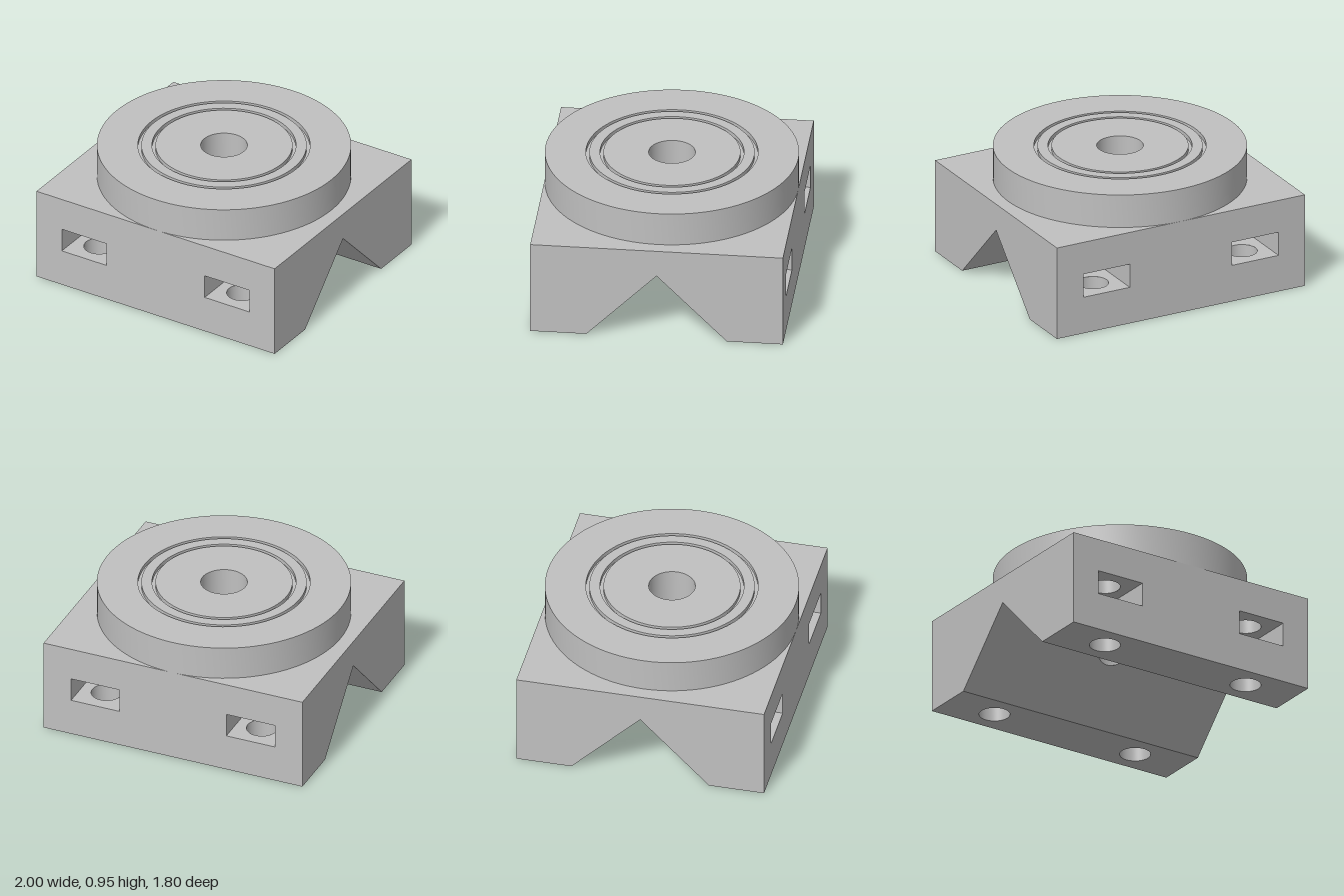
import * as THREE from 'three';
import { toCreasedNormals } from 'three/addons/utils/BufferGeometryUtils.js';

const steel = new THREE.MeshStandardMaterial({ color: 0xc0c0c0, side: THREE.DoubleSide });
steel.name = 'plain grey';

const W = 1, D = 0.9, H = 0.7;            // block half width, half depth, height
const V = 0.5;                            // notch half width and height
const TOP = 0.95, BORE = 0.165;           // turntable top, centre bore radius
const SLOT = { x: 0.6, z: 0.7, w: 0.375, d: 0.4, y0: 0.277, y1: 0.455 };
const DRILL = 0.11, DRILL_TOP = 0.6;

function mesh(name, geometry, parent, x = 0, y = 0, z = 0) {
  const m = new THREE.Mesh(geometry, steel);
  m.name = name;
  m.position.set(x, y, z);
  parent.add(m);
  return m;
}

function rect(w, h, cx = 0, cy = 0, Type = THREE.Shape) {
  const a = w / 2, b = h / 2;
  return new Type([[-a, -b], [a, -b], [a, b], [-a, b]].map(([x, y]) => new THREE.Vector2(cx + x, cy + y)));
}

// Rectangular sheet with round holes at the given x positions
function drilledSheet(w, h, r, xs) {
  const s = rect(w, h);
  for (const x of xs) s.holes.push(new THREE.Path().absarc(x, 0, r, 0, Math.PI * 2, true));
  return new THREE.ShapeGeometry(s, 48);
}
const up = (g) => g.rotateX(-Math.PI / 2);
const down = (g) => g.rotateX(Math.PI / 2);

// Turned surface: a profile running upward faces outward, downward faces inward
function turned(profile, segments = 96) {
  return new THREE.LatheGeometry(profile.map(([r, y]) => new THREE.Vector2(r, y)), segments);
}
const crease = (g) => toCreasedNormals(g, 0.6);

// Front half: face, foot, notch slope and two slotted screw pockets
function blockHalf() {
  const half = new THREE.Group();
  half.name = 'blockHalf';

  const face = rect(2 * W, H, 0, H / 2);
  for (const s of [-1, 1]) {
    face.holes.push(rect(SLOT.w, SLOT.y1 - SLOT.y0, s * SLOT.x, (SLOT.y0 + SLOT.y1) / 2, THREE.Path));
  }
  mesh('face', new THREE.ShapeGeometry(face), half, 0, 0, D);
  mesh('foot', down(drilledSheet(2 * W, D - V, DRILL, [-SLOT.x, SLOT.x])), half, 0, 0, (D + V) / 2);

  // Notch slope drawn in plan, then lifted toward the apex
  const plan = new THREE.Shape();
  plan.moveTo(-W, 0).lineTo(-BORE, 0);
  plan.absarc(0, 0, BORE, Math.PI, 0, true);
  plan.lineTo(W, 0).lineTo(W, V).lineTo(-W, V);
  const slope = down(new THREE.ShapeGeometry(plan, 48));
  const p = slope.attributes.position;
  for (let i = 0; i < p.count; i++) p.setY(i, V - p.getZ(i));
  slope.computeVertexNormals();
  mesh('notchSlope', slope, half);

  for (const s of [-1, 1]) {
    const pocket = new THREE.Group();
    pocket.name = 'screwPocket';
    pocket.position.set(s * SLOT.x, 0, SLOT.z);
    half.add(pocket);
    const h = SLOT.y1 - SLOT.y0, mid = (SLOT.y0 + SLOT.y1) / 2;
    mesh('slotFloor', up(drilledSheet(SLOT.w, SLOT.d, DRILL, [0])), pocket, 0, SLOT.y0, 0);
    mesh('slotCeiling', down(drilledSheet(SLOT.w, SLOT.d, DRILL, [0])), pocket, 0, SLOT.y1, 0);
    mesh('slotBack', new THREE.PlaneGeometry(SLOT.w, h), pocket, 0, mid, -SLOT.d / 2);
    for (const t of [-1, 1]) {
      mesh('slotSide', new THREE.PlaneGeometry(SLOT.d, h).rotateY(-t * Math.PI / 2), pocket, t * SLOT.w / 2, mid, 0);
    }
    mesh('lowerDrill', crease(turned([[DRILL, SLOT.y0], [DRILL, 0]], 48)), pocket);
    mesh('upperDrill', crease(turned([[0, DRILL_TOP], [DRILL, DRILL_TOP], [DRILL, SLOT.y1]], 48)), pocket);
  }
  return half;
}

export function createModel() {
  const model = new THREE.Group();
  model.name = 'notchedBlock';

  const front = blockHalf();
  const back = blockHalf();
  back.rotation.y = Math.PI;
  model.add(front, back);

  // Block ends with the triangular notch
  const end = new THREE.Shape([[-D, 0], [-V, 0], [0, V], [V, 0], [D, 0], [D, H], [-D, H]]
    .map(([x, y]) => new THREE.Vector2(x, y)));
  for (const s of [-1, 1]) {
    mesh('blockEnd', new THREE.ShapeGeometry(end).rotateY(s * Math.PI / 2), model, s * W, 0, 0);
  }
  mesh('blockTop', up(drilledSheet(2 * W, 2 * D, BORE, [0])), model, 0, H, 0);

  // Round table with two narrow grooves
  const g = TOP - 0.03;
  mesh('roundTable', crease(turned([
    [D, H], [D, TOP],
    [0.61, TOP], [0.61, g], [0.585, g], [0.585, TOP],
    [0.51, TOP], [0.51, g], [0.485, g], [0.485, TOP],
    [BORE, TOP],
  ])), model);

  // Centre bore, its lower rim following the notch
  const bore = turned([[BORE, TOP], [BORE, 0]]);
  const p = bore.attributes.position;
  for (let i = 0; i < p.count; i++) {
    if (p.getY(i) < 0.01) p.setY(i, V - Math.abs(p.getZ(i)));
  }
  mesh('centreBore', crease(bore), model);

  return model;
}
